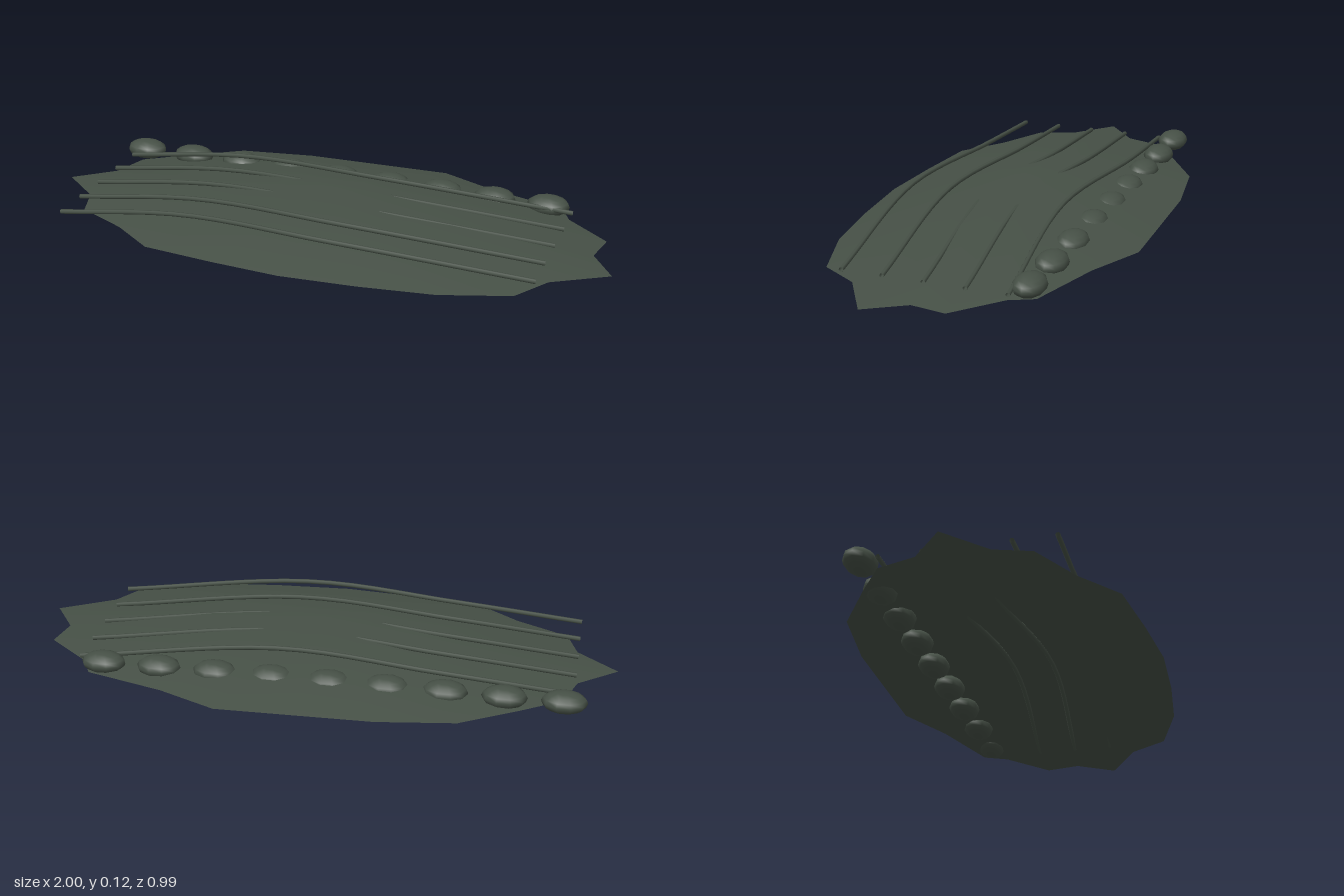
import * as THREE from 'three';

export function createModel() {
  const group = new THREE.Group();
  group.name = 'leafMound';
  const moss = new THREE.MeshStandardMaterial({ color: 0x465046, side: THREE.DoubleSide });
  moss.name = 'mossGreen';

  function add(geometry, name) {
    const mesh = new THREE.Mesh(geometry, moss);
    mesh.name = name;
    group.add(mesh);
    return mesh;
  }

  // Ragged outline of the open, shallow mound as (x, z) pairs
  const rim = [
    [-1, 0], [-0.86, 0.12], [-0.82, 0.24], [-0.64, 0.33], [-0.49, 0.44], [-0.24, 0.47],
    [0, 0.49], [0.26, 0.475], [0.51, 0.445], [0.74, 0.37], [0.82, 0.24], [1, 0.13],
    [0.915, 0], [0.935, -0.12], [0.78, -0.25], [0.74, -0.33], [0.47, -0.41], [0.27, -0.5],
    [0, -0.495], [-0.25, -0.49], [-0.51, -0.45], [-0.7, -0.33], [-0.83, -0.24], [-0.87, -0.11],
  ];
  const positions = [0, 0.125, 0.005];
  const index = [];
  rim.forEach(([x, z], i) => {
    positions.push(x, 0.013, z);
    index.push(0, i + 1, ((i + 1) % rim.length) + 1);
  });
  const mound = new THREE.BufferGeometry();
  mound.setAttribute('position', new THREE.Float32BufferAttribute(positions, 3));
  mound.setIndex(index);
  mound.computeVertexNormals();
  add(mound, 'mound');

  // Five wavy strands arching along the length
  for (let i = 0; i < 5; i++) {
    const z = -0.25 + i * 0.1375;
    const path = new THREE.CatmullRomCurve3([
      new THREE.Vector3(-0.865, 0.033, z + 0.022),
      new THREE.Vector3(-0.42, 0.081, z + 0.002),
      new THREE.Vector3(0.12, 0.093, z + 0.055),
      new THREE.Vector3(0.79, 0.035, z - 0.008),
    ]);
    add(new THREE.TubeGeometry(path, 20, 0.008, 6, false), 'strand' + (i + 1));
  }

  // Row of flattened pebbles along the back
  const pebble = new THREE.SphereGeometry(1, 10, 8);
  for (let i = 0; i < 9; i++) {
    const mesh = add(pebble, 'pebble' + (i + 1));
    mesh.scale.set(0.075, 0.036, 0.053);
    mesh.position.set(-0.835 + i * 0.1915, 0.038, -0.292);
  }
  return group;
}
